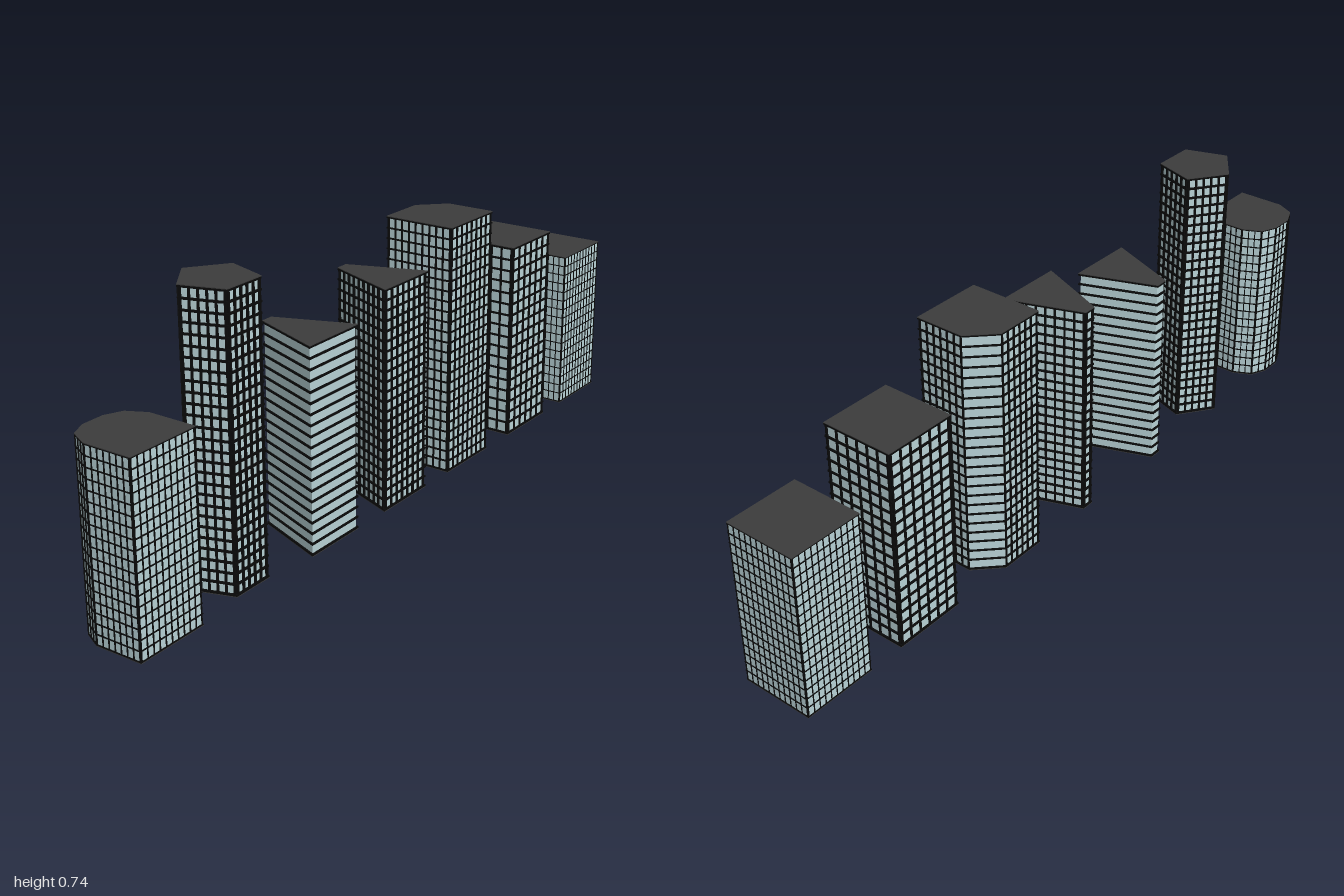
import * as THREE from 'three';
import { mergeGeometries } from 'three/addons/utils/BufferGeometryUtils.js';

const glass = new THREE.MeshStandardMaterial({ color: 0xb9d3d7 });
const frame = new THREE.MeshStandardMaterial({ color: 0x0a0a0a });
const slab = new THREE.MeshStandardMaterial({ color: 0x3c3c3c });

// Footprints are [x, z] corners running front left, front right, then round the back
const pentagon = (x, r) => Array.from({ length: 5 }, (_, i) => {
  const a = Math.PI * 2 * (i + 2.5) / 5 - Math.PI / 5 * 2;
  const t = a + Math.PI / 5 * 2 - Math.PI;
  return [x - r * Math.sin(t), -r * Math.cos(t)];
});
const wedge = (x0, x1, b0, b1) => [[x0, 0.1], [x1, 0.1], [b1, -0.1], [b0, -0.1]];
const square = (x0, x1) => wedge(x0, x1, x0, x1);

const towers = [
  { name: 'roundedBackTower', h: 0.475, floors: 18, spacing: 0.0195, bar: 0.0025, depth: 0.0025,
    plan: [[-1, 0.1], [-0.8, 0.1], [-0.8, -0.03], [-0.825, -0.08], [-0.87, -0.1],
      [-0.93, -0.1], [-0.975, -0.08], [-1, -0.03]] },
  { name: 'pentagonTower', h: 0.735, floors: 27, spacing: 0.0225, bar: 0.005, depth: 0.005,
    plan: pentagon(-0.603, 0.099) },
  { name: 'bandedWedgeTower', h: 0.535, floors: 19, spacing: 0, bar: 0.005, depth: 0.004,
    plan: wedge(-0.405, -0.217, -0.327, -0.293) },
  { name: 'griddedWedgeTower', h: 0.59, floors: 22, spacing: 0.024, bar: 0.0045, depth: 0.005,
    plan: wedge(-0.105, 0.083, -0.025, 0.01) },
  { name: 'cutCornerTower', h: 0.675, floors: 24, spacing: 0.0224, bar: 0.0038, depth: 0.004, plain: 2,
    plan: [[0.19, 0.1], [0.388, 0.1], [0.388, -0.035], [0.323, -0.1], [0.19, -0.1]] },
  { name: 'coarseSquareTower', h: 0.547, floors: 17, spacing: 0.033, bar: 0.005, depth: 0.004,
    plan: square(0.502, 0.702) },
  { name: 'fineSquareTower', h: 0.447, floors: 17, spacing: 0.0182, bar: 0.0022, depth: 0.002,
    plan: square(0.8, 1) },
];

// Moves every side of a convex plan inward by d
function inset(pts, d) {
  return pts.map((p, i) => {
    const a = pts[(i + pts.length - 1) % pts.length], b = pts[(i + 1) % pts.length];
    const u = p.clone().sub(a).normalize(), v = b.clone().sub(p).normalize();
    const n1 = new THREE.Vector2(-u.y, u.x), n2 = new THREE.Vector2(-v.y, v.x);
    return n1.clone().add(n2).multiplyScalar(d / (1 + n1.dot(n2))).add(p);
  });
}

// Upright prism over a plan, optionally hollow
function prism(pts, y, height, hole) {
  const shape = new THREE.Shape(pts);
  if (hole) shape.holes.push(new THREE.Path(hole));
  return new THREE.ExtrudeGeometry(shape, { depth: height, bevelEnabled: false })
    .rotateX(-Math.PI / 2).translate(0, y, 0);
}

function makeTower({ name, h, floors, spacing, bar, depth, plan, plain }) {
  const group = new THREE.Group();
  group.name = name;
  const add = (part, geometry, material) => {
    const mesh = new THREE.Mesh(geometry, material);
    mesh.name = part;
    group.add(mesh);
  };
  const cap = 0.002;
  const outer = plan.map(([x, z]) => new THREE.Vector2(x, -z));
  const inner = inset(outer, depth);

  add('glassCore', prism(inner, cap, h - 2 * cap), glass);
  add('roof', prism(outer, h - cap, cap), slab);
  add('base', prism(outer, 0, cap), slab);

  // Floor bands wrapping the glass
  const bands = [];
  for (let i = 0; i <= floors; i++) {
    const y = cap + (h - 2 * cap - bar) * i / floors;
    bands.push(prism(outer, y, bar, inner));
  }
  add('floorBands', mergeGeometries(bands), frame);

  // Vertical bars evenly spread along each side
  if (!spacing) return group;
  const bars = [];
  inner.forEach((a, i) => {
    if (i === plain) return;
    const b = inner[(i + 1) % inner.length];
    const dir = b.clone().sub(a), length = dir.length();
    const count = Math.max(1, Math.round(length / spacing));
    dir.normalize();
    for (let k = 0; k <= count; k++) {
      const p = a.clone().addScaledVector(dir, bar / 2 + (length - bar) * k / count);
      p.add(new THREE.Vector2(dir.y, -dir.x).multiplyScalar(depth / 2));
      bars.push(new THREE.BoxGeometry(bar, h - 2 * cap, depth)
        .rotateY(Math.atan2(dir.y, dir.x)).translate(p.x, h / 2, -p.y));
    }
  });
  add('windowBars', mergeGeometries(bars), frame);
  return group;
}

export function createModel() {
  const model = new THREE.Group();
  model.name = 'towerRow';
  towers.forEach((t) => model.add(makeTower(t)));
  return model;
}
